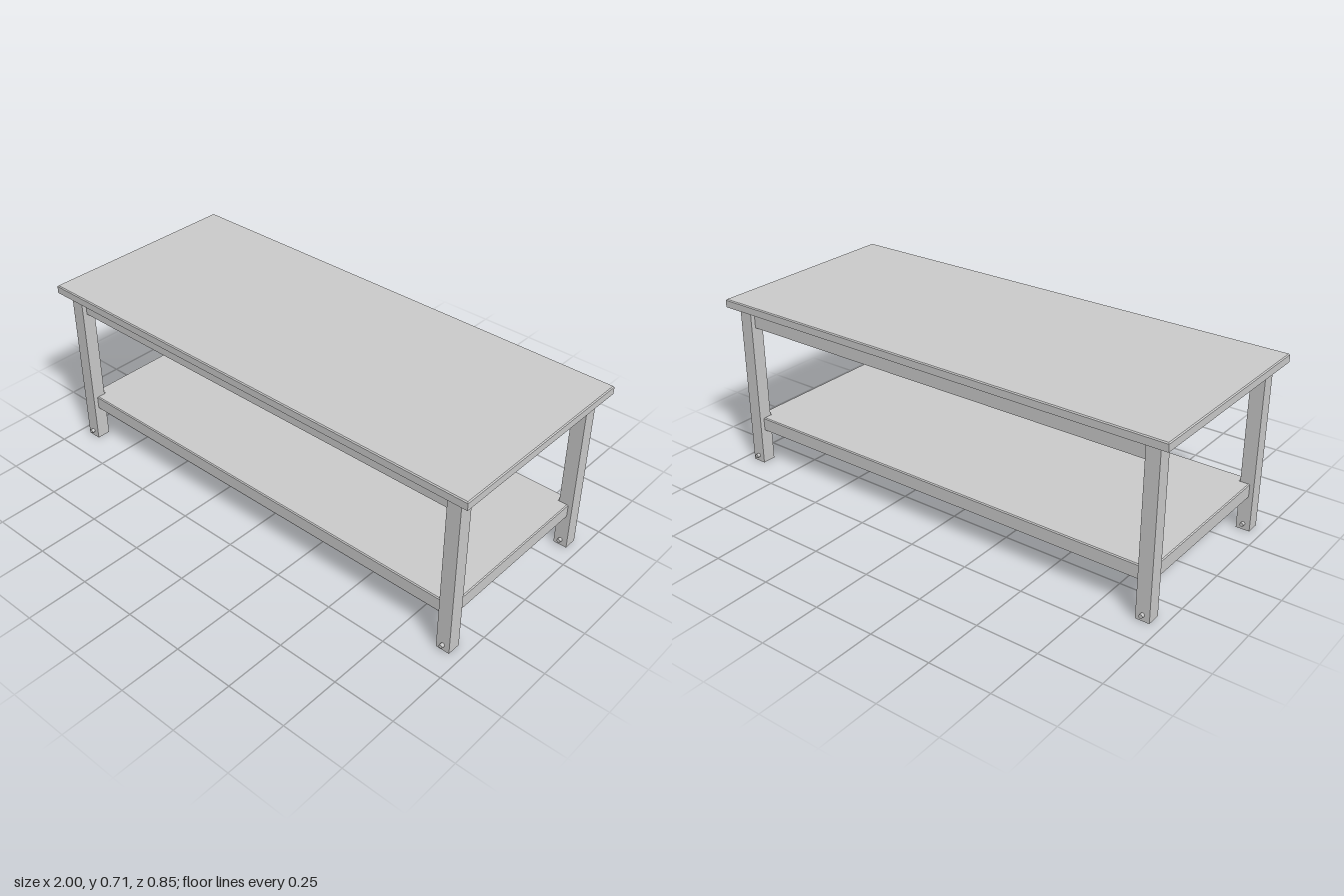
import * as THREE from 'three';

const material = new THREE.MeshStandardMaterial({ color: 0xcccccc, flatShading: true });

// Box from minimum to maximum corner
function box(name, [x0, y0, z0], [x1, y1, z1]) {
  const mesh = new THREE.Mesh(new THREE.BoxGeometry(x1 - x0, y1 - y0, z1 - z0), material);
  mesh.position.set((x0 + x1) / 2, (y0 + y1) / 2, (z0 + z1) / 2);
  mesh.name = name;
  return mesh;
}

// Centred slab with a small chamfer around its upper edge
function slab(name, halfX, halfZ, bottom, top, chamfer) {
  const height = top - bottom;
  const geometry = new THREE.BoxGeometry(halfX * 2, height, halfZ * 2, 1, 2, 1);
  const p = geometry.attributes.position;
  for (let i = 0; i < p.count; i++) {
    const y = p.getY(i);
    if (Math.abs(y) < 1e-6) p.setY(i, height / 2 - chamfer);
    else if (y > 0) {
      p.setX(i, Math.sign(p.getX(i)) * (halfX - chamfer));
      p.setZ(i, Math.sign(p.getZ(i)) * (halfZ - chamfer));
    }
  }
  const flat = geometry.toNonIndexed();
  flat.computeVertexNormals();
  const mesh = new THREE.Mesh(flat, material);
  mesh.position.y = (bottom + top) / 2;
  mesh.name = name;
  return mesh;
}

export function createModel() {
  const table = new THREE.Group();
  table.name = 'coffeeTable';

  // Leg faces, and the slightly recessed rail faces
  const legIn = { x: 0.9, z: 0.338 }, legOut = { x: 0.956, z: 0.394 };
  const rail = { x: 0.939, z: 0.375 };
  const underTop = 0.681;

  table.add(slab('tableTop', 1, 0.427, underTop, 0.714, 0.004));

  // Lower shelf fills the space between the legs in both directions
  const shelf = new THREE.Group();
  shelf.name = 'shelf';
  shelf.add(slab('shelfEnds', rail.x, legIn.z, 0.145, 0.201, 0.004));
  shelf.add(slab('shelfSides', legIn.x, rail.z, 0.145, 0.201, 0.004));
  table.add(shelf);

  // Legs, each with a bolt through its foot
  const boltGeometry = new THREE.CylinderGeometry(0.008, 0.008, 0.084, 16).rotateX(Math.PI / 2);
  const boltMaterial = new THREE.MeshStandardMaterial({ color: 0xcccccc });
  const legX = (legIn.x + legOut.x) / 2, legZ = (legIn.z + legOut.z) / 2;
  for (const sx of [-1, 1]) for (const sz of [-1, 1]) {
    const name = (sz > 0 ? 'front' : 'back') + (sx > 0 ? 'Left' : 'Right');
    const leg = new THREE.Group();
    leg.name = name + 'Leg';
    const post = box('post', [-0.028, 0, -0.028], [0.028, underTop, 0.028]);
    const bolt = new THREE.Mesh(boltGeometry, boltMaterial);
    bolt.name = 'footBolt';
    bolt.position.y = 0.026;
    leg.add(post, bolt);
    leg.position.set(sx * legX, 0, sz * legZ);
    table.add(leg);
  }

  // Deep aprons along the long sides, shallow ones across the ends
  for (const s of [-1, 1]) {
    const z = s * (legIn.z + rail.z) / 2, x = s * (legIn.x + rail.x) / 2;
    const tz = (rail.z - legIn.z) / 2, tx = (rail.x - legIn.x) / 2;
    table.add(box(s > 0 ? 'frontApron' : 'backApron',
      [-legIn.x, 0.6, z - tz], [legIn.x, underTop, z + tz]));
    table.add(box(s > 0 ? 'leftApron' : 'rightApron',
      [x - tx, 0.659, -legIn.z], [x + tx, underTop, legIn.z]));
  }
  return table;
}
